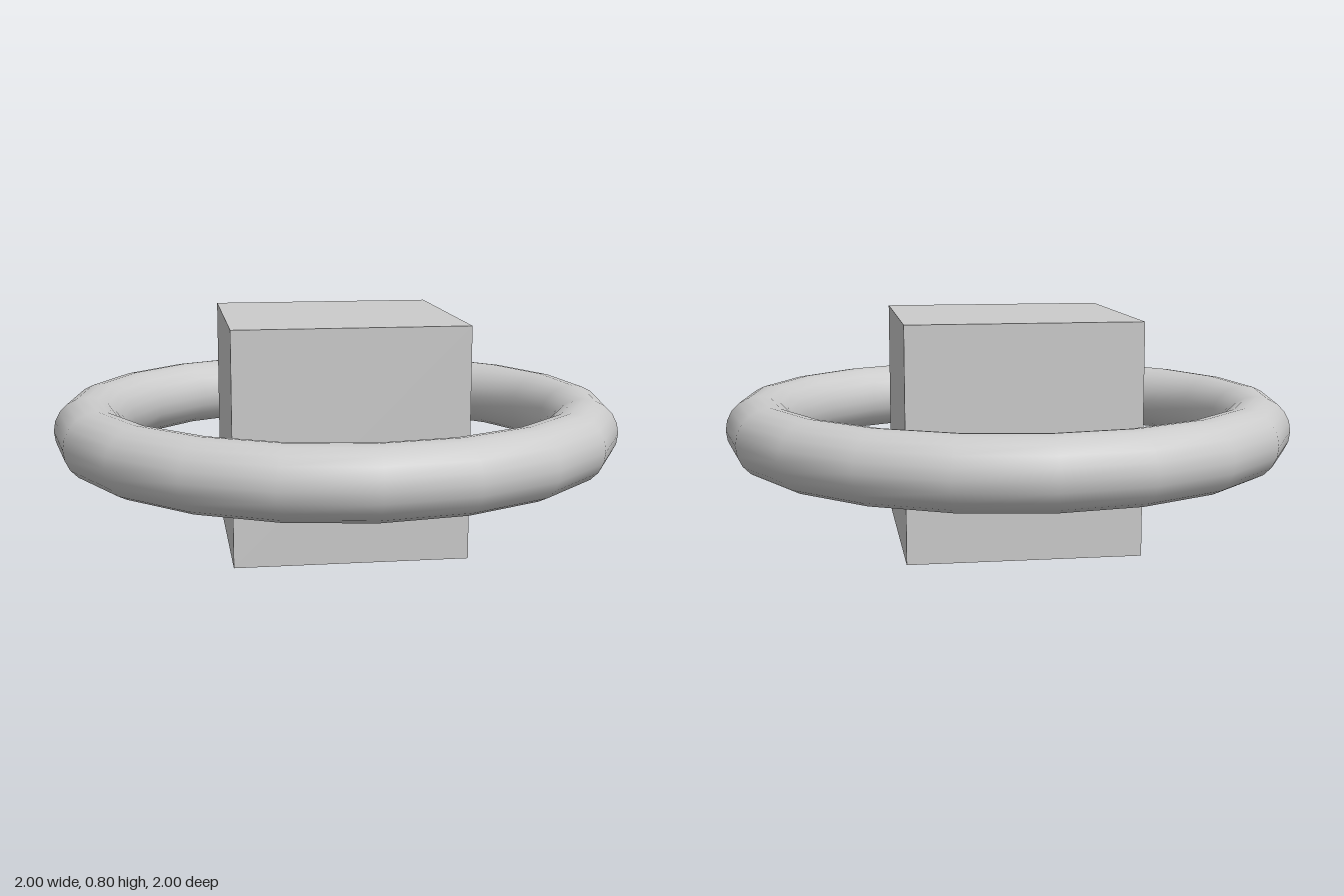
import * as THREE from 'three';

export function createModel() {
  const group = new THREE.Group();
  const material = new THREE.MeshStandardMaterial({ color: 0xcccccc });
  const centreY = 0.4;

  const add = (name, geometry) => {
    const mesh = new THREE.Mesh(geometry, material);
    mesh.name = name;
    mesh.position.y = centreY;
    group.add(mesh);
  };

  // Central cube standing on the ground
  add('cube', new THREE.BoxGeometry(0.8, 0.8, 0.8));

  // Level ring floating around the middle of the cube, 20 segments round
  add('ring', new THREE.TorusGeometry(0.88, 0.12, 20, 20).rotateX(Math.PI / 2));

  return group;
}
